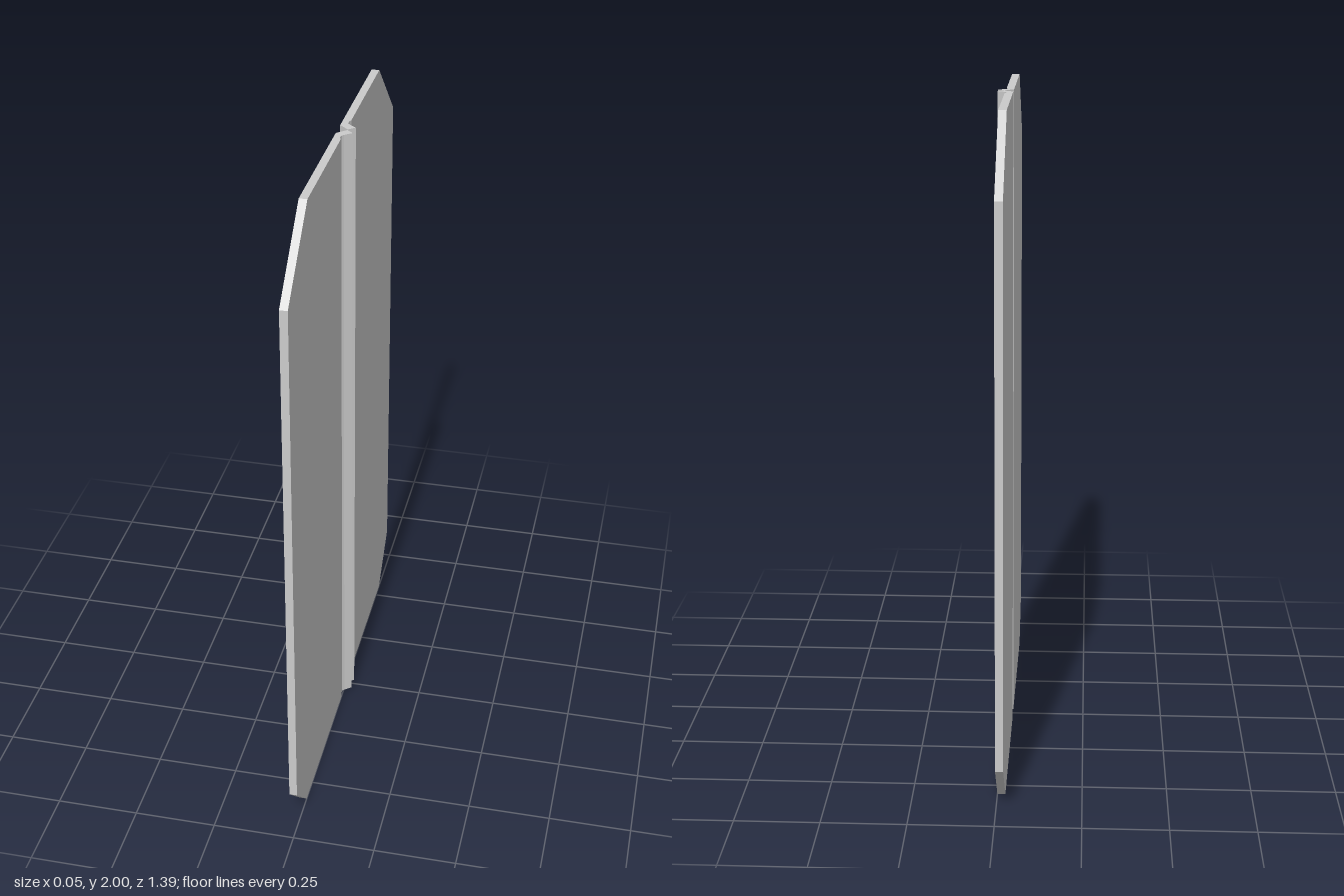
import * as THREE from 'three';

const BACK = -0.0235, LIP = 0.0235, EDGE = 0.697, TOP = 2;

// One leaf: four-cornered sections lofted from the folded lip to the outer edge.
// side is +1 (front leaf) or -1 (rear leaf); cuts are the corner chamfers.
function makeLeaf(name, side, { topStart, topDrop, lowStart, lowRise }) {
  const section = (bx, bz, fx, fz, low = 0, high = TOP) => ({ bx, bz, fx, fz, low, high });
  const cut = (z, start, amount) => amount * Math.max(0, (z - start) / (EDGE - start));
  const flat = (z, x = 0) =>
    section(BACK, z, x, z, cut(z, lowStart, lowRise), TOP - cut(z, topStart, topDrop));

  const sections = [
    section(0.004, 0.002, LIP, 0.02),      // lip end
    section(BACK, 0.029, 0.002, 0.038),    // fold
    flat(0.045, -0.004), flat(0.06, -0.004), flat(0.07), // shallow groove
    flat(topStart), flat(lowStart), flat(EDGE),
  ];
  const rings = sections.map(s => [
    [s.bx, s.low, s.bz * side], [s.fx, s.low, s.fz * side],
    [s.fx, s.high, s.fz * side], [s.bx, s.high, s.bz * side],
  ]);

  const positions = [];
  const quad = (a, b, c, d) => {
    const order = side > 0 ? [a, b, c, a, c, d] : [a, c, b, a, d, c];
    order.forEach(p => positions.push(...p));
  };
  for (let i = 0; i < rings.length - 1; i++) {
    for (let k = 0; k < 4; k++) {
      const n = (k + 1) % 4;
      quad(rings[i][k], rings[i][n], rings[i + 1][n], rings[i + 1][k]);
    }
  }
  // End caps
  const first = rings[0], last = rings[rings.length - 1];
  quad(first[3], first[2], first[1], first[0]);
  quad(last[0], last[1], last[2], last[3]);

  const geometry = new THREE.BufferGeometry();
  geometry.setAttribute('position', new THREE.Float32BufferAttribute(positions, 3));
  geometry.computeVertexNormals();
  const mesh = new THREE.Mesh(geometry,
    new THREE.MeshStandardMaterial({ color: 0xcccccc, flatShading: true }));
  mesh.name = name;
  return mesh;
}

export function createModel() {
  const group = new THREE.Group();
  group.name = 'doublePanel';
  group.add(
    makeLeaf('frontLeaf', 1, { topStart: 0.47, topDrop: 0.21, lowStart: 0.575, lowRise: 0.125 }),
    makeLeaf('rearLeaf', -1, { topStart: 0.467, topDrop: 0.21, lowStart: 0.555, lowRise: 0.145 }),
  );
  return group;
}
